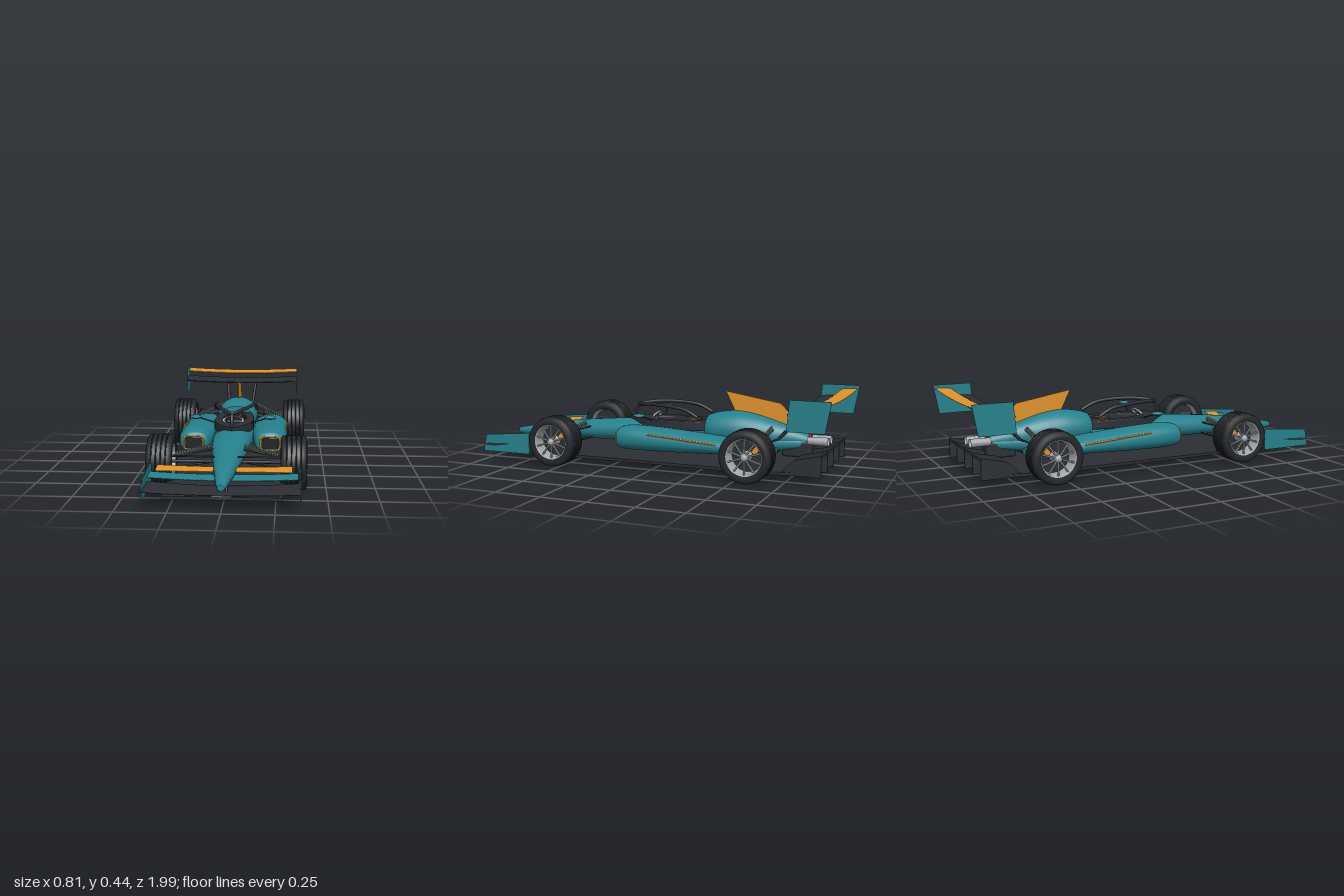
import * as THREE from 'three';
import { RoundedBoxGeometry } from 'three/addons/geometries/RoundedBoxGeometry.js';

const paint = (color) => new THREE.MeshStandardMaterial({ color, side: THREE.DoubleSide });
const V = (x, y, z) => new THREE.Vector3(x, y, z);

export function createModel() {
  const car = new THREE.Group();
  car.name = 'openWheelRaceCar';
  const teal = paint(0x26818d), orange = paint(0xe0942c), dark = paint(0x2b2f34);
  const black = paint(0x1c1e21), rubber = paint(0x24272b), grey = paint(0xa4a8ac), red = paint(0xc0303a);

  const add = (name, geo, mat, parent = car) => {
    const m = new THREE.Mesh(geo, mat);
    m.name = name;
    parent.add(m);
    return m;
  };

  // Skin over a row of closed rings, with flat end caps
  function loft(rings) {
    const n = rings[0].length, pos = [], idx = [];
    rings.forEach((r) => r.forEach((p) => pos.push(p.x, p.y, p.z)));
    for (let i = 0; i < rings.length - 1; i++) for (let j = 0; j < n; j++) {
      const a = i * n + j, b = i * n + (j + 1) % n;
      idx.push(a, a + n, b, b, a + n, b + n);
    }
    [rings[0], rings[rings.length - 1]].forEach((r, end) => {
      const c = r.reduce((s, p) => s.add(p), V(0, 0, 0)).divideScalar(n);
      const base = pos.length / 3;
      [c, ...r].forEach((p) => pos.push(p.x, p.y, p.z));
      for (let j = 0; j < n; j++) {
        const a = base + 1 + j, b = base + 1 + (j + 1) % n;
        idx.push(base, end ? b : a, end ? a : b);
      }
    });
    const g = new THREE.BufferGeometry();
    g.setAttribute('position', new THREE.Float32BufferAttribute(pos, 3));
    g.setIndex(idx);
    g.computeVertexNormals();
    return g;
  }

  // Body shell: sections [z, centreX, halfWidth, yBottom, yTop, roundness], front to back
  function shell(secs, steps = 5) {
    const rings = [], at = (i) => secs[Math.max(0, Math.min(secs.length - 1, i))];
    for (let k = 0; k <= (secs.length - 1) * steps; k++) {
      const i = Math.floor(k / steps), t = (k % steps) / steps;
      const [z, cx, hw, yb, yt, p] = at(i).map((b, c) => {
        const d = at(i + 1)[c], m0 = (d - at(i - 1)[c]) / 2, m1 = (at(i + 2)[c] - b) / 2;
        return b + m0 * t + (3 * (d - b) - 2 * m0 - m1) * t * t + (2 * (b - d) + m0 + m1) * t * t * t;
      });
      const pw = (v) => Math.sign(v) * Math.abs(v) ** (2 / p);
      rings.push(Array.from({ length: 32 }, (_, j) => {
        const a = j / 32 * Math.PI * 2;
        return V(cx + hw * pw(Math.cos(a)), (yb + yt) / 2 + (yt - yb) / 2 * pw(Math.sin(a)), z);
      }));
    }
    return loft(rings);
  }

  // Aerofoil from x0 to x1; at(x) gives [zLead, yLead, zTrail, yTrail]
  function wing(x0, x1, thick, at) {
    const rings = [];
    for (let i = 0; i <= 20; i++) {
      const x = x0 + (x1 - x0) * i / 20, [zl, yl, zt, yt] = at(x);
      rings.push(Array.from({ length: 16 }, (_, j) => {
        const a = j / 16 * Math.PI * 2, s = (1 - Math.cos(a)) / 2;
        const h = Math.sin(a) * thick / 2 * (1.25 - 0.7 * s);
        return V(x, yl + (yt - yl) * s * s + h, zl + (zt - zl) * s);
      }));
    }
    return loft(rings);
  }

  // Upright plate with a [z, y] outline
  function plate(pts, x, t) {
    const s = new THREE.Shape(pts.map(([z, y]) => new THREE.Vector2(z, y)));
    return new THREE.ExtrudeGeometry(s, { depth: t, bevelEnabled: false }).rotateY(-Math.PI / 2).translate(x + t / 2, 0, 0);
  }
  const tube = (pts, r, closed = false, seg = 40) =>
    new THREE.TubeGeometry(new THREE.CatmullRomCurve3(pts, closed), seg, r, 8, closed);
  const rod = (a, b, r) => new THREE.TubeGeometry(new THREE.LineCurve3(a, b), 1, r, 8);

  function coil(a, b, r, turns) {
    const dir = b.clone().sub(a), u = V(0, 0, 1).cross(dir).normalize(), w = dir.clone().normalize().cross(u);
    const pts = Array.from({ length: turns * 8 + 1 }, (_, i) => {
      const t = i / 8 * Math.PI * 2;
      return a.clone().addScaledVector(dir, i / (turns * 8)).addScaledVector(u, r * Math.cos(t)).addScaledVector(w, r * Math.sin(t));
    });
    return tube(pts, 0.0035, false, turns * 10);
  }

  // Nose, tub and engine cover
  add('noseAndTub', shell([
    [0.975, 0, 0.014, 0.105, 0.13, 2], [0.955, 0, 0.023, 0.098, 0.137, 2.2], [0.8, 0, 0.045, 0.095, 0.167, 2.2],
    [0.6, 0, 0.07, 0.102, 0.2, 2.2], [0.4, 0, 0.093, 0.105, 0.221, 2.2], [0.22, 0, 0.104, 0.105, 0.236, 2.3],
    [0.1, 0, 0.11, 0.1, 0.222, 2.6], [-0.1, 0, 0.115, 0.1, 0.214, 2.8], [-0.35, 0, 0.115, 0.105, 0.214, 2.6],
    [-0.6, 0, 0.085, 0.11, 0.21, 2.4], [-0.8, 0, 0.045, 0.13, 0.2, 2.2]]), teal);
  add('engineCover', shell([
    [-0.25, 0, 0.095, 0.14, 0.288, 2.2], [-0.3, 0, 0.112, 0.13, 0.303, 2.1], [-0.4, 0, 0.118, 0.12, 0.316, 2],
    [-0.5, 0, 0.107, 0.12, 0.306, 2], [-0.6, 0, 0.088, 0.12, 0.281, 2], [-0.7, 0, 0.064, 0.13, 0.25, 2],
    [-0.81, 0, 0.04, 0.15, 0.21, 2]]), teal);
  add('sharkFin', plate([[-0.34, 0.42], [-0.4, 0.3], [-0.77, 0.215], [-0.785, 0.23], [-0.65, 0.368]], 0, 0.006), orange);

  // Cockpit surround, seat, belts and steering wheel
  const rim = new THREE.Shape();
  rim.moveTo(0, 0.23);
  rim.bezierCurveTo(0.03, 0.2, 0.105, 0.1, 0.105, 0);
  rim.bezierCurveTo(0.105, -0.1, 0.1, -0.18, 0.08, -0.26);
  rim.lineTo(-0.08, -0.26);
  rim.bezierCurveTo(-0.1, -0.18, -0.105, -0.1, -0.105, 0);
  rim.bezierCurveTo(-0.105, 0.1, -0.03, 0.2, 0, 0.23);
  const hole = new THREE.Path();
  hole.absellipse(0, -0.07, 0.07, 0.16, 0, Math.PI * 2);
  rim.holes.push(hole);
  add('cockpitSurround', new THREE.ExtrudeGeometry(rim, {
    depth: 0.04, bevelSize: 0.005, bevelThickness: 0.005, bevelSegments: 2, curveSegments: 20,
  }).rotateX(Math.PI / 2).translate(0, 0.249, 0), dark);
  add('cockpitFloor', new THREE.BoxGeometry(0.14, 0.006, 0.3).translate(0, 0.217, -0.08), black);
  const seat = add('seat', new RoundedBoxGeometry(0.1, 0.02, 0.15, 3, 0.009), black);
  seat.position.set(0, 0.236, -0.15);
  seat.rotation.x = 0.15;
  const wheel = add('steeringWheel', new THREE.TorusGeometry(0.045, 0.006, 8, 32), grey);
  wheel.scale.set(1.2, 0.5, 1);
  wheel.position.set(0, 0.264, 0.07);
  wheel.rotation.x = -0.6;

  // Halo
  add('haloPillar', tube([V(0, 0.225, 0.205), V(0, 0.29, 0.195), V(0, 0.322, 0.17)], 0.009), dark);
  const side = [V(0.12, 0.28, -0.22), V(0.112, 0.318, -0.14), V(0.1, 0.332, -0.03), V(0.06, 0.332, 0.1)];
  add('haloHoop', tube([...side, V(0, 0.322, 0.175), ...side.map((p) => V(-p.x, p.y, p.z)).reverse()], 0.01, false, 80), dark);

  // Floor and diffuser
  const half = [[0.285, 0.925], [0.285, 0.72], [0.307, 0.62], [0.307, -0.65], [0.285, -0.8]];
  const outline = [...half, ...half.map(([x, z]) => [-x, z]).reverse()].map(([x, z]) => new THREE.Vector2(x, z));
  add('floor', new THREE.ExtrudeGeometry(new THREE.Shape(outline), { depth: 0.015, bevelEnabled: false })
    .rotateX(Math.PI / 2).translate(0, 0.06, 0), dark);
  const ramp = add('diffuserRamp', new THREE.BoxGeometry(0.57, 0.008, 0.18), dark);
  ramp.position.set(0, 0.1, -0.86);
  ramp.rotation.x = 0.5;
  for (const x of [-0.282, -0.142, 0, 0.142, 0.282])
    add('diffuserFin', plate([[-0.72, 0.044], [-0.94, 0.044], [-0.94, 0.157], [-0.8, 0.125]], x, 0.006), dark);
  add('noseSplitter', new THREE.BoxGeometry(0.095, 0.004, 0.02).translate(0, 0.063, 0.928), grey);

  // Front wing: a full main plane and flap, and a split upper flap
  const bow = (x) => (x / 0.37) ** 2;
  add('frontWingMain', wing(-0.37, 0.37, 0.016, (x) =>
    [0.93 + 0.06 * bow(x), 0.068 + 0.026 * bow(x), 0.79 + 0.03 * bow(x), 0.08 + 0.026 * bow(x)]), dark);
  add('frontWingFlap', wing(-0.356, 0.356, 0.012, (x) =>
    [0.815 + 0.06 * bow(x), 0.109 + 0.027 * bow(x), 0.73 + 0.06 * bow(x), 0.12 + 0.027 * bow(x)]), teal);

  // Rear wing
  const lift = (x) => 0.011 * (x / 0.355) ** 2;
  add('rearWingMain', wing(-0.355, 0.355, 0.02, (x) => [-0.775, 0.355 + lift(x), -0.915, 0.368 + lift(x)]), dark);
  add('rearWingFlap', wing(-0.355, 0.355, 0.016, (x) => [-0.895, 0.4 + lift(x), -0.99, 0.41 + lift(x)]), orange);

  // Rear light
  add('rearLight', new RoundedBoxGeometry(0.026, 0.034, 0.015, 2, 0.004).translate(0, 0.205, -0.815), red);
  add('gearbox', new RoundedBoxGeometry(0.1, 0.09, 0.16, 2, 0.015).translate(0, 0.135, -0.75), dark);

  // Wheel parts, modelled along y then laid on the x axis with the outer side at +x
  const lay = (g) => g.rotateZ(-Math.PI / 2);
  const tread = [[0.092, -0.06], [0.105, -0.066], [0.124, -0.064], [0.135, -0.056]];
  for (const g of [-0.036, -0.012, 0.012, 0.036])
    tread.push([0.138, g - 0.004], [0.138, g - 0.003], [0.134, g - 0.0015], [0.134, g + 0.0015], [0.138, g + 0.003], [0.138, g + 0.004]);
  tread.push([0.135, 0.056], [0.124, 0.064], [0.105, 0.066], [0.092, 0.06], [0.092, -0.06]);
  const lathe = (pts, n = 48) => lay(new THREE.LatheGeometry(pts.map(([r, y]) => new THREE.Vector2(r, y)), n));
  const tyreGeo = lathe(tread);
  const rimGeo = lathe([[0.094, -0.06], [0.088, -0.056], [0.084, -0.02], [0.084, 0.03], [0.09, 0.06], [0.096, 0.062]]);
  const discGeo = lay(new THREE.CylinderGeometry(0.083, 0.083, 0.012, 40)).translate(-0.015, 0, 0);
  const hubGeo = lathe([[0.026, -0.05], [0.026, 0.045], [0.016, 0.06], [0.014, 0.07], [0, 0.07]], 24);
  const spokeGeo = new RoundedBoxGeometry(0.012, 0.072, 0.009, 1, 0.003).translate(0.05, 0.055, 0);

  function roadWheel(s, z) {
    const w = new THREE.Group();
    w.name = z > 0 ? 'frontWheel' : 'rearWheel';
    add('tyre', tyreGeo, rubber, w);
    add('rim', rimGeo, grey, w);
    add('brakeDisc', discGeo, dark, w);
    add('hub', hubGeo, grey, w);
    for (let i = 0; i < 10; i++) add('spoke', spokeGeo, grey, w).rotation.x = i / 10 * Math.PI * 2;
    const caliper = add('brakeCaliper', new RoundedBoxGeometry(0.03, 0.03, 0.045, 2, 0.006), orange, w);
    caliper.position.set(0.015, 0.035, -0.052);
    caliper.rotation.x = 0.9;
    w.position.set(s * 0.335, 0.139, z);
    if (s < 0) w.scale.x = -1;
    car.add(w);
  }

  // Everything paired left and right
  for (const s of [1, -1]) {
    const P = (x, y, z) => V(s * x, y, z);
    roadWheel(s, 0.54);
    roadWheel(s, -0.57);

    // Side pod with framed inlet and stripe
    add('sidePod', shell([
      [0.205, s * 0.205, 0.058, 0.118, 0.205, 2.6], [0.185, s * 0.205, 0.078, 0.106, 0.224, 2.4],
      [0.1, s * 0.204, 0.092, 0.1, 0.233, 2.3], [-0.1, s * 0.2, 0.1, 0.102, 0.224, 2.3],
      [-0.35, s * 0.2, 0.1, 0.112, 0.205, 2.3], [-0.52, s * 0.2, 0.088, 0.118, 0.19, 2.2],
      [-0.63, s * 0.2, 0.062, 0.122, 0.176, 2.1], [-0.68, s * 0.2, 0.035, 0.13, 0.165, 2]]), teal);
    add('podInlet', new RoundedBoxGeometry(0.088, 0.06, 0.006, 2, 0.003).translate(s * 0.208, 0.163, 0.206), black);
    const frame = [[0.16, 0.19], [0.17, 0.198], [0.248, 0.198], [0.258, 0.19], [0.258, 0.135], [0.248, 0.127], [0.17, 0.127], [0.16, 0.135]];
    add('inletFrame', tube(frame.map(([x, y]) => P(x, y, 0.205)), 0.005, true, 64), orange);
    add('podStripe', tube([P(0.288, 0.2, 0.01), P(0.294, 0.193, -0.12), P(0.297, 0.183, -0.26), P(0.294, 0.174, -0.385)], 0.005), orange);

    // Mirror and belt
    add('mirror', new THREE.SphereGeometry(1, 24, 16).scale(0.032, 0.011, 0.034).translate(s * 0.205, 0.285, 0.09), teal);
    add('mirrorStalk', rod(P(0.09, 0.245, 0.06), P(0.19, 0.282, 0.085), 0.004), dark);
    add('seatBelt', rod(P(0.02, 0.247, -0.12), P(0.028, 0.252, -0.18), 0.004), orange);

    // Wing flaps, end plates and supports
    add('frontUpperFlap', wing(Math.min(s * 0.055, s * 0.328), Math.max(s * 0.055, s * 0.328), 0.012, (x) =>
      [0.745 + 0.085 * bow(x), 0.136 + 0.022 * bow(x), 0.675 + 0.055 * bow(x), 0.145 + 0.022 * bow(x)]), orange);
    add('frontEndPlate', plate([[0.99, 0.055], [0.97, 0.15], [0.69, 0.175], [0.69, 0.055]], s * 0.367, 0.005), teal);
    add('frontWingStrut', rod(P(0.02, 0.07, 0.88), P(0.02, 0.12, 0.86), 0.006), dark);
    add('rearEndPlate', plate([[-0.79, 0.44], [-0.775, 0.28], [-0.97, 0.28], [-1, 0.44]], s * 0.355, 0.005), teal);
    add('rearWingPylon', rod(P(0.07, 0.19, -0.66), P(0.09, 0.355, -0.83), 0.009), dark);
    add('exhaust', new THREE.CylinderGeometry(0.023, 0.021, 0.11, 24, 1, true).rotateX(-Math.PI / 2).translate(s * 0.037, 0.183, -0.865), grey);
    add('exhaustBore', new THREE.CircleGeometry(0.021, 24).rotateY(Math.PI).translate(s * 0.037, 0.183, -0.9), black);

    // Suspension: coil-over and wishbones at each axle
    for (const [z, xi, yi] of [[0.54, 0.085, 0.205], [-0.57, 0.09, 0.245]]) {
      const a = P(xi, yi, z - 0.06), b = P(0.265, 0.17, z - 0.02);
      add('damper', rod(a, b, 0.006), dark);
      add('spring', coil(a, b, 0.011, 14), grey);
      for (const dz of [-0.09, 0.09]) {
        add('upperWishbone', rod(P(0.06, 0.185, z + dz), P(0.29, 0.165, z), 0.005), dark);
        add('lowerWishbone', rod(P(0.05, 0.12, z + dz), P(0.29, 0.105, z), 0.005), dark);
      }
      add('axle', rod(P(0.04, 0.139, z), P(0.3, 0.139, z), 0.008), dark);
    }
  }
  return car;
}
